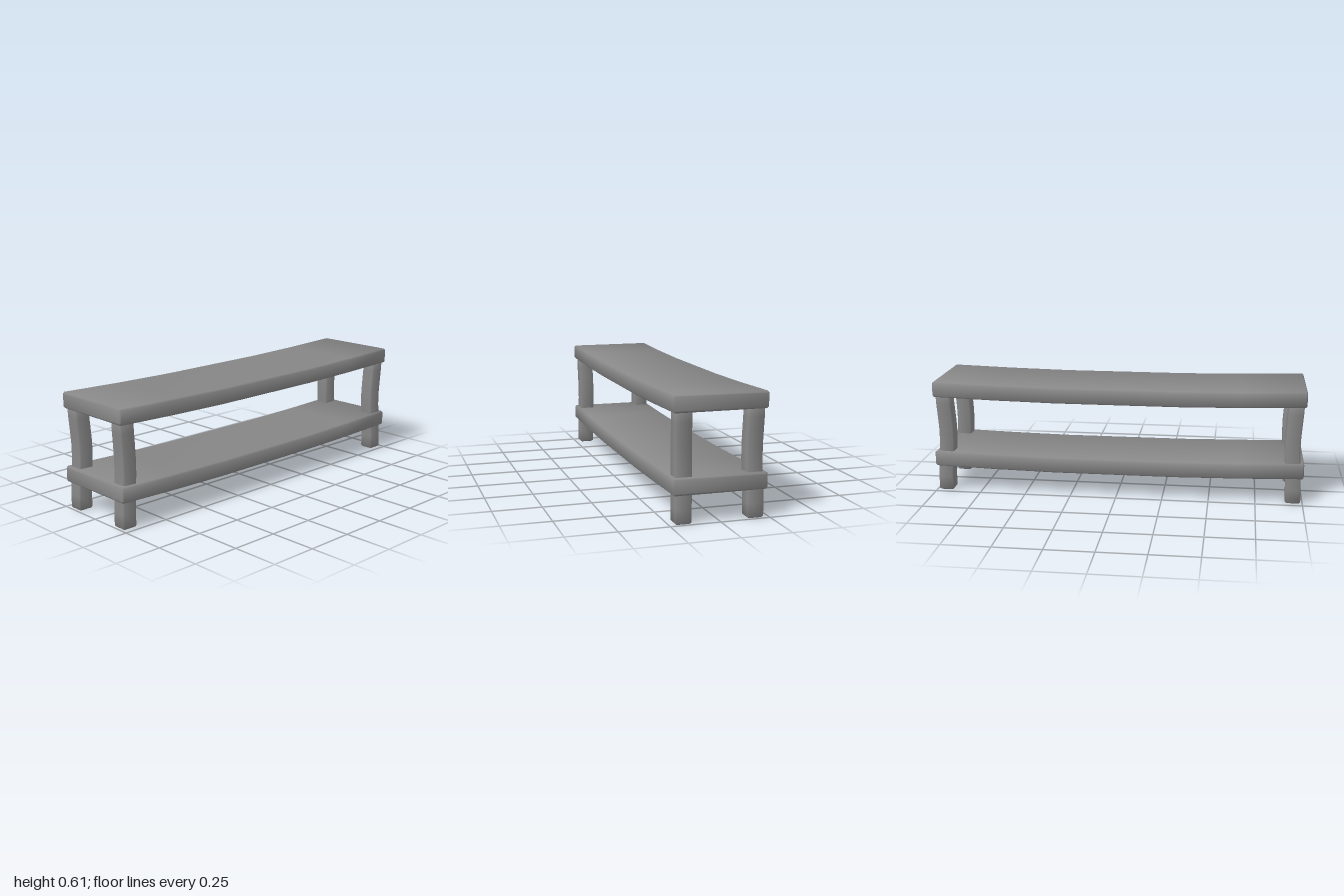
import * as THREE from 'three';
import { mergeVertices } from 'three/addons/utils/BufferGeometryUtils.js';

const material = new THREE.MeshStandardMaterial({ color: 0x888888 });
const BEVEL = 0.007;

// Chamfered beam along z, from 0 to length, with cross-section w by h
function beam(w, h, length, steps) {
  const c = 0.008, x = w / 2, y = h / 2;
  const shape = new THREE.Shape([
    [x - c, -y], [x, -y + c], [x, y - c], [x - c, y],
    [-x + c, y], [-x, y - c], [-x, -y + c], [-x + c, -y],
  ].map(([a, b]) => new THREE.Vector2(a, b)));
  return new THREE.ExtrudeGeometry(shape, {
    depth: length - 2 * BEVEL, steps, bevelEnabled: true,
    bevelSize: BEVEL, bevelThickness: BEVEL, bevelOffset: -BEVEL, bevelSegments: 1,
  }).translate(0, 0, BEVEL);
}

// Soft normals: each face counts equally, so the shading rolls across the wide faces
function softNormals(geometry) {
  const p = geometry.attributes.position, index = geometry.index;
  const sums = Array.from({ length: p.count }, () => new THREE.Vector3());
  const triangle = new THREE.Triangle(), n = new THREE.Vector3();
  for (let i = 0; i < index.count; i += 3) {
    const corners = [index.getX(i), index.getX(i + 1), index.getX(i + 2)];
    triangle.setFromAttributeAndIndices(p, ...corners);
    triangle.getNormal(n);
    corners.forEach((k) => sums[k].add(n));
  }
  const normals = sums.flatMap((s) => s.normalize().toArray());
  geometry.setAttribute('normal', new THREE.Float32BufferAttribute(normals, 3));
  return geometry;
}

// Move every vertex by a rule, then weld for smooth normals
function bend(geometry, rule) {
  const p = geometry.attributes.position, v = new THREE.Vector3();
  for (let i = 0; i < p.count; i++) {
    rule(v.fromBufferAttribute(p, i));
    p.setXYZ(i, v.x, v.y, v.z);
  }
  geometry.deleteAttribute('normal');
  geometry.deleteAttribute('uv');
  return softNormals(mergeVertices(geometry, 1e-5));
}

function add(group, name, geometry) {
  const mesh = new THREE.Mesh(geometry, material);
  mesh.name = name;
  group.add(mesh);
}

export function createModel() {
  const group = new THREE.Group();
  group.name = 'bench';

  // Two boards that sag towards the middle
  for (const [name, y] of [['seatBoard', 0.571], ['lowerShelf', 0.183]]) {
    const board = beam(0.47, 0.083, 2, 6).translate(0, 0, -1).rotateY(Math.PI / 2);
    add(group, name, bend(board, (v) => {
      const t = Math.max(Math.abs(v.x), 0.33);
      v.y += y - 0.016 * (1 - (t * t - 0.109) / 0.891);
    }));
  }

  // Four legs, straight at the foot and bowed slightly inwards above the lower shelf
  for (const sx of [-1, 1]) {
    for (const sz of [-1, 1]) {
      const leg = beam(0.081, 0.082, 0.56, 8).rotateX(-Math.PI / 2);
      const name = (sz > 0 ? 'front' : 'back') + (sx > 0 ? 'Left' : 'Right') + 'Leg';
      add(group, name, bend(leg, (v) => {
        const bow = Math.sin((Math.PI * v.y) / 0.62) ** 3;
        v.x += sx * (0.949 - 0.013 * bow);
        v.z += sz * (0.181 - 0.004 * bow);
      }));
    }
  }
  return group;
}
